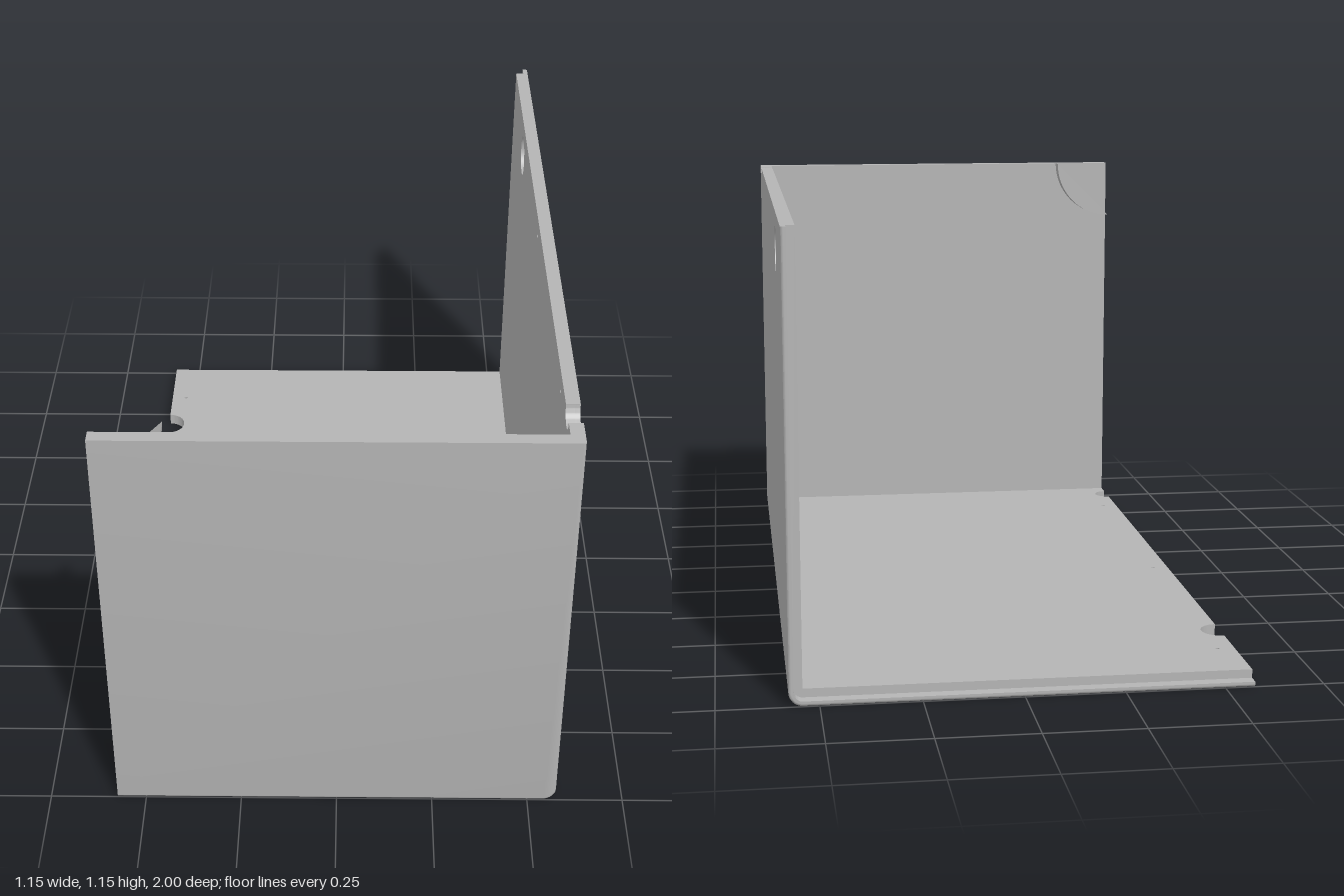
import * as THREE from 'three';
import { toCreasedNormals, mergeGeometries } from 'three/addons/utils/BufferGeometryUtils.js';

const X = 0.575, H = 1.155, T = 0.035, SKIN = 0.013, R = 0.035;
const ZB = -0.97, ZF = 0.965; // ends of the full-thickness plates
const EDGE = 0.007;           // small rounding on the front and back rims

// Quarter arc around the floor/wall fold, from below to the outside
function foldArc(r, n = 10) {
  return Array.from({ length: n + 1 }, (_, i) => {
    const a = -Math.PI / 2 + (i / n) * Math.PI / 2;
    return new THREE.Vector2(X - R + r * Math.cos(a), R + r * Math.sin(a));
  });
}

// Outlines of the solid front panel and the thin back lip, outer side inset by d
const panelOutline = (d) => [
  new THREE.Vector2(-X, d), ...foldArc(R - d),
  new THREE.Vector2(X - d, H), new THREE.Vector2(-X, H)];
const lipOutline = (d) => [
  new THREE.Vector2(-X, d), ...foldArc(R - d), new THREE.Vector2(X - d, H),
  new THREE.Vector2(X - SKIN, H), ...foldArc(R - SKIN).reverse(), new THREE.Vector2(-X, SKIN)];

// Loft of an outline through [z, inset] stations of rising z, closed at both ends
function loft(outline, stations) {
  const rings = stations.map(([z, d]) => outline(d).map((p) => [p.x, p.y, z]));
  const pos = [];
  for (let j = 0; j < rings.length - 1; j++) {
    const lo = rings[j], hi = rings[j + 1], n = lo.length;
    for (let i = 0; i < n; i++) {
      const k = (i + 1) % n;
      pos.push(...lo[i], ...lo[k], ...hi[i], ...lo[k], ...hi[k], ...hi[i]);
    }
  }
  const cap = (ring, flip) => {
    const tris = THREE.ShapeUtils.triangulateShape(ring.map((p) => new THREE.Vector2(p[0], p[1])), []);
    for (const [a, b, c] of tris) pos.push(...ring[a], ...ring[flip ? c : b], ...ring[flip ? b : c]);
  };
  cap(rings[0], true);
  cap(rings[rings.length - 1], false);
  const g = new THREE.BufferGeometry();
  g.setAttribute('position', new THREE.Float32BufferAttribute(pos, 3));
  return toCreasedNormals(g, 0.6);
}

// Rounded rim stations, from the full outline (t = 0) to the inset end (t = 1)
const rim = [0, 0.25, 0.5, 0.75, 1].map((t) => {
  const a = t * Math.PI / 2;
  return [EDGE * Math.sin(a), EDGE * (1 - Math.cos(a))];
});

// Plate standing in the y/z plane: half-round notches in its top edge, round holes
function plate(height, depth, notches, holes) {
  const s = new THREE.Shape();
  s.moveTo(-ZF, 0);
  s.lineTo(-ZB, 0);
  s.lineTo(-ZB, height);
  for (const [z, r] of notches) { // ordered from back to front
    s.lineTo(-z + r, height);
    s.absarc(-z, height, r, 0, -Math.PI, true);
  }
  s.lineTo(-ZF, height);
  s.closePath();
  for (const [z, h, r] of holes) s.holes.push(new THREE.Path().absarc(-z, h, r, 0, Math.PI * 2, true));
  const g = new THREE.ExtrudeGeometry(s, { depth, bevelEnabled: false, curveSegments: 20 });
  return toCreasedNormals(g.rotateY(Math.PI / 2), 0.6);
}

export function createModel() {
  const model = new THREE.Group();
  const grey = new THREE.MeshStandardMaterial({ color: 0xb4b4b4 });
  grey.name = 'plain grey';
  const add = (name, geometry) => {
    const m = new THREE.Mesh(geometry, grey);
    m.name = name;
    model.add(m);
    return m;
  };

  // Blind pin holes pierce only the inner layer of each plate
  const pins = [-0.8, -0.04, 0.715].map((z) => [z, 1.07, 0.005]);

  // Side wall: inner layer and outer skin
  const wallNotch = [[0.88, 0.038]];
  const wallHole = [-0.6, 1.06 - T, 0.057];
  add('sideWallInner', plate(H - T, T - SKIN, wallNotch, [wallHole, ...pins])).position.set(X - T, T, 0);
  add('sideWallSkin', plate(H - T, SKIN, wallNotch, [wallHole])).position.set(X - SKIN, T, 0);

  // Floor: the same plate laid down, its notched edge at -x
  const floorNotches = [[-0.648, 0.05], [0.88, 0.038]];
  const length = 2 * X - T;
  add('floorInner', plate(length, T - SKIN, floorNotches, pins).rotateZ(Math.PI / 2)).position.set(X - T, SKIN, 0);
  add('floorSkin', plate(length, SKIN, floorNotches, []).rotateZ(Math.PI / 2)).position.set(X - T, 0, 0);

  // Rounded fold between floor and side wall
  add('roundedFold', loft(() => [new THREE.Vector2(X - R, R), ...foldArc(R)], [[ZB, 0], [ZF, 0]]));

  // Front panel with a softly rounded outer rim
  add('frontPanel', loft(panelOutline,
    [[ZF, 0], ...rim.map(([dz, d]) => [1 - EDGE + dz, d])]));

  // Thin stepped lip along the open back
  add('backLip', loft(lipOutline,
    [...rim.map(([dz, d]) => [-1 + EDGE - dz, d]).reverse(), [ZB, 0]]));

  // Quarter-round pad in the upper corner behind the front panel
  const pad = new THREE.Shape();
  pad.moveTo(-X, H);
  pad.absarc(-X, H, 0.17, -Math.PI / 2, 0, false);
  pad.closePath();
  const padGeometry = new THREE.ExtrudeGeometry(pad, { depth: ZF - 0.922, bevelEnabled: false, curveSegments: 20 });
  add('cornerPad', toCreasedNormals(padGeometry, 0.6)).position.z = 0.922;

  return model;
}
